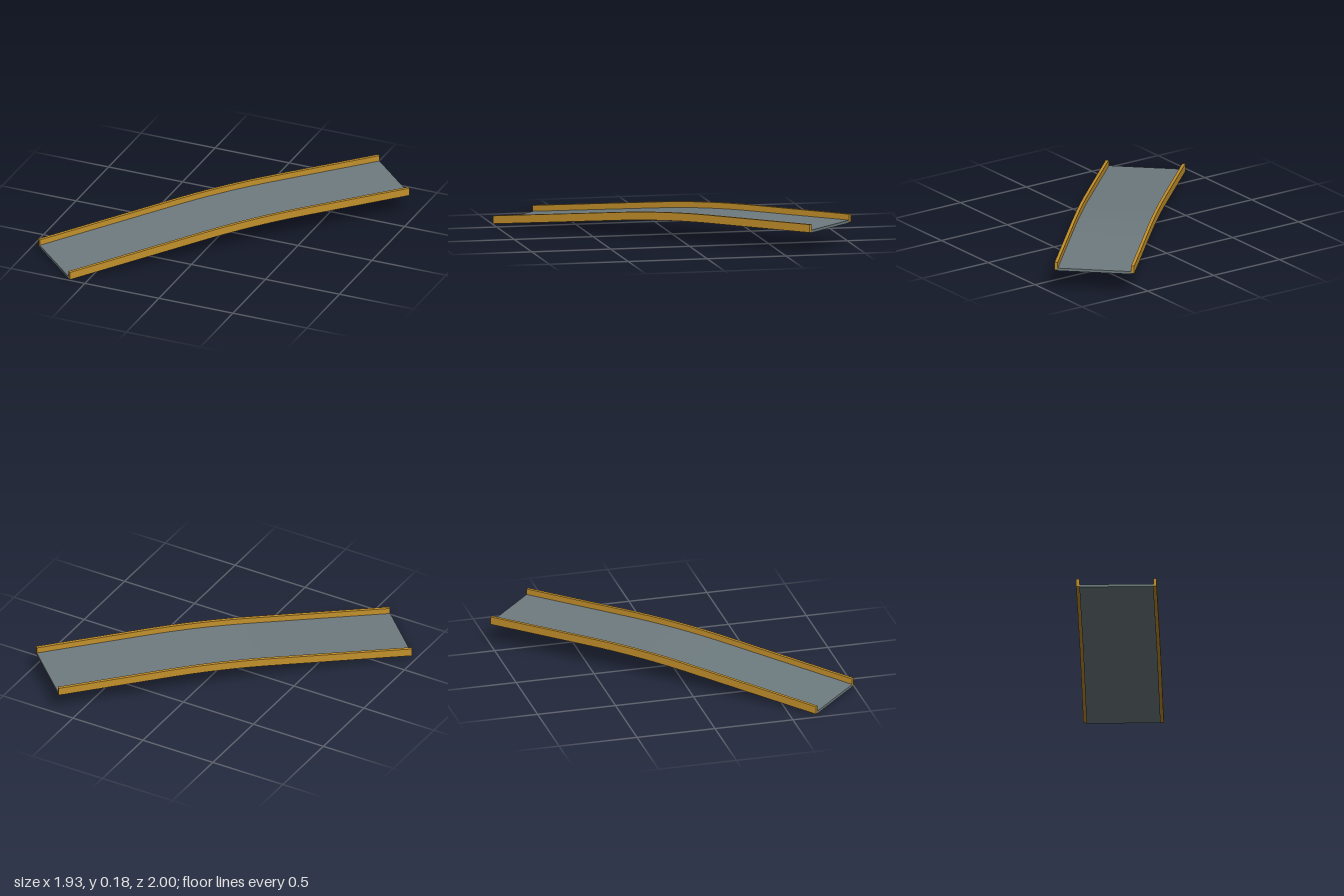
import * as THREE from 'three';

const LENGTH = 2.28, WIDTH = 0.498, RAIL = 0.02;
const SLOPE = 0.106, BEND_START = 0.9, BEND = 0.67;

// Height of the underside at distance s: straight climb, soft bend, level run
function rise(s) {
  const u = Math.min(Math.max(s - BEND_START, 0), BEND);
  return SLOPE * (Math.min(s, BEND_START) + u - (u * u) / (2 * BEND));
}

// Side profile following the climb between two offsets, extruded across the width
function strip(name, low, high, z, width, material) {
  const n = 24, pts = [];
  for (let i = 0; i <= n; i++) {
    const s = (LENGTH * i) / n;
    pts.push(new THREE.Vector2(s - LENGTH / 2, rise(s) + low));
  }
  for (let i = n; i >= 0; i--) {
    const s = (LENGTH * i) / n;
    pts.push(new THREE.Vector2(s - LENGTH / 2, rise(s) + high));
  }
  const geometry = new THREE.ExtrudeGeometry(new THREE.Shape(pts), { depth: width, bevelEnabled: false });
  geometry.translate(0, 0, z - width / 2);
  const mesh = new THREE.Mesh(geometry, material);
  mesh.name = name;
  return mesh;
}

export function createModel() {
  const slate = new THREE.MeshStandardMaterial({ color: 0x6e7b7f });
  slate.name = 'slate grey';
  const amber = new THREE.MeshStandardMaterial({ color: 0xc4912b });
  amber.name = 'amber';

  const ramp = new THREE.Group();
  ramp.name = 'ramp';

  // Deck plate between the rails
  ramp.add(strip('deck', 0, 0.017, 0, WIDTH - 2 * RAIL, slate));

  // Kerb rails along both edges
  for (const side of [-1, 1]) {
    ramp.add(strip(side > 0 ? 'rightRail' : 'leftRail', 0.004, 0.054, side * (WIDTH - RAIL) / 2, RAIL, amber));
  }

  // The ramp runs diagonally, climbing towards the back left
  ramp.rotation.y = THREE.MathUtils.degToRad(46.6);
  const model = new THREE.Group();
  model.name = 'model';
  model.add(ramp);
  return model;
}
